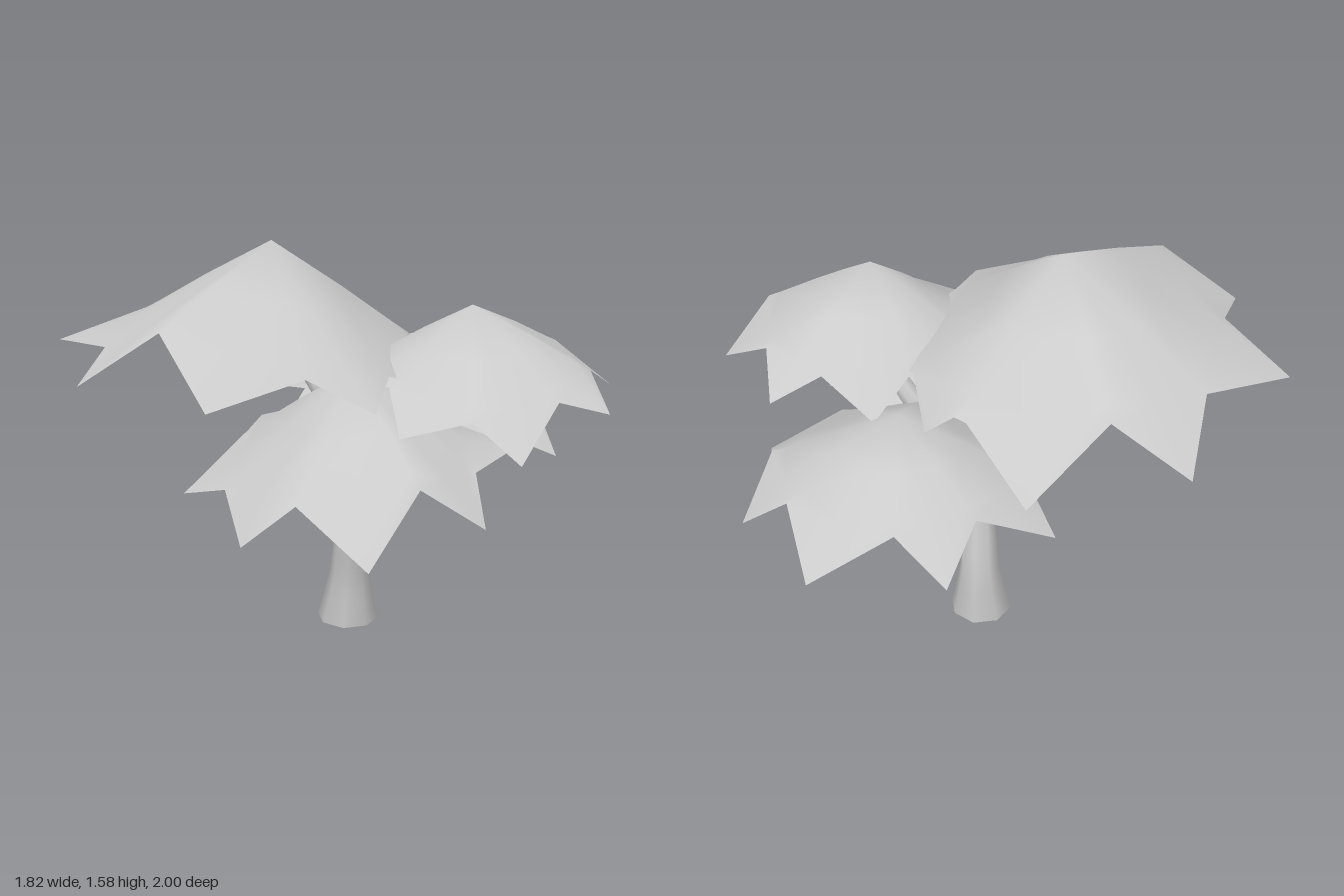
import * as THREE from 'three';

const grey = new THREE.MeshStandardMaterial({ color: 0xcccccc });
const leaf = new THREE.MeshStandardMaterial({ color: 0xcccccc, side: THREE.DoubleSide });

// Tapered limb swept along a smooth path; stations are [x, y, z, radius]
function limb(name, stations, sides = 8, steps = 14) {
  const curve = new THREE.CatmullRomCurve3(stations.map(s => new THREE.Vector3(s[0], s[1], s[2])));
  const geo = new THREE.TubeGeometry(curve, steps, 1, sides, false);
  const pos = geo.attributes.position;
  const v = new THREE.Vector3();
  for (let i = 0; i <= steps; i++) {
    const t = curve.getUtoTmapping(i / steps) * (stations.length - 1);
    const k = Math.min(Math.floor(t), stations.length - 2);
    const r = THREE.MathUtils.lerp(stations[k][3], stations[k + 1][3], t - k);
    const c = curve.getPointAt(i / steps);
    for (let j = 0; j <= sides; j++) {
      const n = i * (sides + 1) + j;
      v.fromBufferAttribute(pos, n).sub(c).multiplyScalar(r).add(c);
      pos.setXYZ(n, v.x, i === 0 ? c.y : v.y, v.z);
    }
  }
  const mesh = new THREE.Mesh(geo, grey);
  mesh.name = name;
  return mesh;
}

// Star-edged drooping canopy: peak, nearly round inner rings, then rim of tips and notches
function canopy(name, peak, rim) {
  const n = rim.length;
  const top = new THREE.Vector3(...peak);
  const edge = rim.map(p => new THREE.Vector3(...p));
  // Rounded outline: each tip is drawn back towards the line between its notches
  const round = edge.map((p, i) => {
    if (i % 2) return p;
    const between = edge[(i + n - 1) % n].clone().lerp(edge[(i + 1) % n], 0.5);
    return p.clone().lerp(between, 0.75);
  });
  const rings = [0.5, 0.88].map(t => round.map(p => top.clone().lerp(p, t)));
  rings[0].forEach(p => { p.y += 0.006; });
  rings.push(edge);

  const index = [];
  rings.forEach((ring, r) => ring.forEach((p, i) => {
    const a = 1 + r * n + i, b = 1 + r * n + (i + 1) % n;
    if (r === 0) index.push(0, b, a);
    else index.push(a - n, b, a, a - n, b - n, b);
  }));
  const geo = new THREE.BufferGeometry().setFromPoints([top, ...rings.flat()]);
  geo.setIndex(index);
  geo.computeVertexNormals();
  const mesh = new THREE.Mesh(geo, leaf);
  mesh.name = name;
  return mesh;
}

export function createModel() {
  const tree = new THREE.Group();
  tree.name = 'tree';

  // Trunk forking into three limbs
  tree.add(
    limb('trunk', [
      [-0.105, 0, -0.09, 0.125], [-0.1, 0.08, -0.09, 0.105], [-0.09, 0.2, -0.088, 0.08],
      [-0.055, 0.4, -0.07, 0.067], [-0.01, 0.6, -0.055, 0.057], [0.025, 0.72, -0.075, 0.062]]),
    limb('topBranch', [
      [0.0, 0.64, -0.055, 0.056], [0.03, 0.8, -0.03, 0.05],
      [-0.03, 1.0, 0.08, 0.036], [-0.14, 1.24, 0.17, 0.026], [-0.17, 1.48, 0.2, 0.012]]),
    limb('rightBranch', [
      [0.0, 0.62, -0.055, 0.055], [0.07, 0.74, -0.11, 0.055],
      [0.12, 0.88, -0.21, 0.045], [0.24, 1.06, -0.28, 0.033], [0.38, 1.3, -0.26, 0.012]]),
    limb('backBranch', [
      [0.0, 0.62, -0.055, 0.054], [0.02, 0.74, -0.13, 0.055],
      [-0.02, 0.86, -0.27, 0.045], [-0.12, 1.04, -0.42, 0.02]]));

  // Closed underside of the trunk
  const base = new THREE.Mesh(new THREE.CircleGeometry(0.122, 8), grey);
  base.name = 'trunkBase';
  base.rotation.x = Math.PI / 2;
  base.position.set(-0.105, 0, -0.09);
  tree.add(base);

  // Rims list tip, notch, tip, notch... from the +x side round through the front
  tree.add(
    canopy('topCanopy', [-0.17, 1.58, 0.21], [
      [0.55, 1.12, 0.28], [0.36, 1.22, 0.43], [0.34, 1.17, 0.81], [0, 1.36, 0.78],
      [-0.2, 1.16, 1.0], [-0.37, 1.23, 0.8], [-0.73, 1.18, 0.81], [-0.73, 1.25, 0.43],
      [-0.91, 1.07, 0.25], [-0.72, 1.27, 0.04], [-0.7, 1.02, -0.27], [-0.34, 1.2, -0.31],
      [-0.23, 1.08, -0.39], [-0.03, 1.18, -0.32], [0.38, 1.04, -0.27], [0.39, 1.18, 0.1]]),
    canopy('rightCanopy', [0.42, 1.39, -0.25], [
      [0.91, 0.97, -0.05], [0.74, 1.09, 0.02], [0.59, 1.03, 0.21], [0.39, 1.14, 0.1],
      [0.2, 1.12, 0.17], [0.13, 1.18, -0.03], [-0.08, 1.09, -0.07], [0.02, 1.17, -0.28],
      [-0.08, 1.07, -0.51], [0.14, 1.17, -0.6], [0.2, 1.08, -0.78], [0.39, 1.18, -0.7],
      [0.62, 1.04, -0.78], [0.73, 1.17, -0.54], [0.89, 1.06, -0.48], [0.82, 1.12, -0.3]]),
    canopy('frontCanopy', [0.22, 1.17, 0.13], [
      [0.71, 0.64, 0.43], [0.45, 0.82, 0.54], [0.32, 0.66, 0.68], [0.03, 0.75, 0.56],
      [-0.18, 0.68, 0.61], [-0.21, 0.86, 0.3], [-0.37, 0.84, 0.14], [-0.22, 0.9, -0.04],
      [-0.2, 0.8, -0.26], [0.02, 0.88, -0.25], [0.13, 0.82, -0.4], [0.33, 0.9, -0.28],
      [0.5, 0.84, -0.42], [0.61, 0.84, -0.12], [0.77, 0.7, -0.03], [0.68, 0.87, 0.19]]),
    canopy('backCanopy', [-0.15, 1.13, -0.45], [
      [0.42, 0.71, -0.25], [0.22, 0.85, -0.12], [0.19, 0.66, 0.15], [-0.08, 0.85, -0.03],
      [-0.3, 0.79, 0.1], [-0.4, 0.9, -0.09], [-0.69, 0.83, -0.14], [-0.58, 0.94, -0.39],
      [-0.71, 0.82, -0.58], [-0.52, 0.95, -0.67], [-0.46, 0.83, -0.97], [-0.15, 0.92, -0.89],
      [0.02, 0.75, -1.0], [0.16, 0.9, -0.81], [0.41, 0.71, -0.72], [0.32, 0.85, -0.45]]));

  return tree;
}
